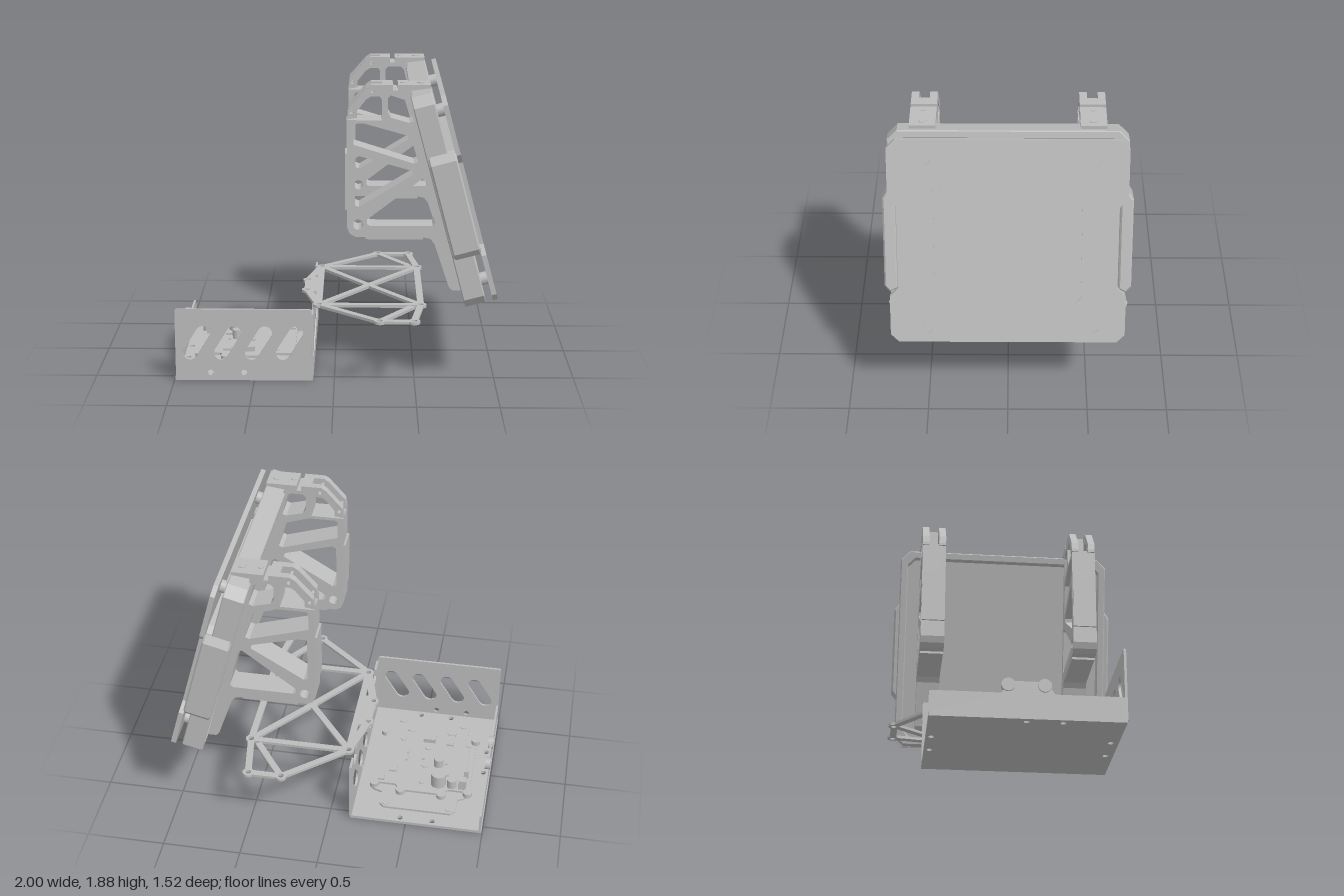
import * as THREE from 'three';

const gray = new THREE.MeshStandardMaterial({ color: 0xbcbcbc });
gray.name = 'machined gray';

// Polygon, always counter-clockwise so that holes face the right way
function poly(pts) {
  const v = pts.map(p => new THREE.Vector2(p[0], p[1]));
  return new THREE.Shape(THREE.ShapeUtils.isClockWise(v) ? v.reverse() : v);
}
const circle = (x, y, r) => new THREE.Path().absarc(x, y, r, 0, Math.PI * 2, true);
const disc = (x, y, r) => new THREE.Shape().absarc(x, y, r, 0, Math.PI * 2, false);

// Slanted slot: two half circles about (x, y), its ends offset by (dx, dy)
function slot(x, y, dx, dy, r) {
  const a = Math.atan2(dy, dx), p = new THREE.Path();
  p.absarc(x + dx, y + dy, r, a - Math.PI / 2, a + Math.PI / 2, false);
  p.absarc(x - dx, y - dy, r, a + Math.PI / 2, a + Math.PI * 1.5, false);
  p.closePath();
  return p;
}

function roundRect(hw, hh, r) {
  const s = new THREE.Shape(), h = Math.PI / 2;
  s.absarc(hw - r, hh - r, r, 0, h, false);
  s.absarc(-hw + r, hh - r, r, h, 2 * h, false);
  s.absarc(-hw + r, -hh + r, r, 2 * h, 3 * h, false);
  s.absarc(hw - r, -hh + r, r, 3 * h, 4 * h, false);
  s.closePath();
  return s;
}

// Rectangle with cut corners
const octagon = (hw, v0, v1, c) => poly([
  [-hw + c, v0], [hw - c, v0], [hw, v0 + c], [hw, v1 - c],
  [hw - c, v1], [-hw + c, v1], [-hw, v1 - c], [-hw, v0 + c]]);

function add(parent, name, geo, x = 0, y = 0, z = 0) {
  const m = new THREE.Mesh(geo, gray);
  m.name = name;
  m.position.set(x, y, z);
  parent.add(m);
  return m;
}
const box = (g, name, w, h, d, x, y, z) => add(g, name, new THREE.BoxGeometry(w, h, d), x, y, z);
const post = (g, name, r, h, x, y, z) => add(g, name, new THREE.CylinderGeometry(r, r, h, 24), x, y, z);
const pin = (g, name, r, h, x, y, z) => { post(g, name, r, h, x, y, z).rotation.z = Math.PI / 2; };

function extrude(shape, depth, bevel = 0) {
  return new THREE.ExtrudeGeometry(shape, {
    depth: depth - 2 * bevel, curveSegments: 10, bevelEnabled: bevel > 0,
    bevelSize: bevel, bevelThickness: bevel, bevelOffset: -bevel, bevelSegments: 1
  }).translate(0, 0, bevel);
}
// Horizontal plate (x, z) below top; upright plate (z, y) behind its +x face
const flat = (g, name, s, top, t) => add(g, name, extrude(s, t).rotateX(Math.PI / 2), 0, top, 0);
const upright = (g, name, s, x, t, bevel) => add(g, name, extrude(s, t, bevel).rotateY(-Math.PI / 2), x, 0, 0);

function buildTray(root) {
  const g = new THREE.Group();
  g.name = 'tray';
  root.add(g);
  const floor = poly([[-0.995, -0.56], [-0.135, -0.56], [-0.135, 0.57], [-0.995, 0.57]]);
  for (const [x, z] of [[-0.67, 0.525], [-0.46, 0.525], [-0.67, -0.525], [-0.46, -0.525], [-0.95, 0], [-0.95, 0.21]])
    floor.holes.push(circle(x, z, 0.018));
  flat(g, 'trayFloor', floor, 0.022, 0.02);
  // front wall
  const front = poly([[-0.99, 0.02], [-0.14, 0.02], [-0.14, 0.46], [-0.15, 0.47], [-0.98, 0.47], [-0.99, 0.46]]);
  for (let i = 0; i < 4; i++) front.holes.push(slot(-0.857 + i * 0.193, 0.25, 0.04, 0.065, 0.045));
  for (const x of [-0.772, -0.562]) front.holes.push(circle(x, 0.055, 0.018));
  add(g, 'frontWall', extrude(front, 0.015), 0, 0, 0.56);
  // right wall with two notches under the arm plate
  const side = poly([[-0.56, 0.02], [0.565, 0.02], [0.565, 0.435], [0.46, 0.435], [0.46, 0.38], [0.44, 0.36],
    [0.38, 0.36], [0.36, 0.38], [0.36, 0.435], [-0.36, 0.435], [-0.36, 0.38], [-0.38, 0.36],
    [-0.44, 0.36], [-0.46, 0.38], [-0.46, 0.435], [-0.56, 0.435]]);
  for (let i = -2; i <= 2; i++) side.holes.push(slot(i * 0.197 + 0.005, 0.198, -0.048, 0.053, 0.05));
  for (const [z, y] of [[0.21, 0.405], [0, 0.405], [0.105, 0.055], [-0.105, 0.055]]) side.holes.push(circle(z, y, 0.018));
  upright(g, 'rightWall', side, -0.13, 0.015);
  // low wall with a raised middle that carries two connectors
  upright(g, 'lowLeftWall', poly([[-0.56, 0.02], [0.565, 0.02], [0.565, 0.15], [0.555, 0.16], [0.16, 0.16], [0.11, 0.235],
    [-0.1, 0.235], [-0.15, 0.16], [-0.55, 0.16], [-0.56, 0.15]]), -0.977, 0.013);
  for (const z of [-0.11, 0.1]) pin(g, 'connector', 0.04, 0.035, -0.983, 0.21, z);
}

function buildElectronics(root) {
  const g = new THREE.Group();
  g.name = 'electronics';
  root.add(g);
  const half = [[-0.88, 0.26], [-0.85, 0.3], [-0.81, 0.32], [-0.81, 0.43], [-0.78, 0.46],
    [-0.34, 0.46], [-0.31, 0.43], [-0.31, 0.32], [-0.25, 0.3], [-0.22, 0.26]];
  flat(g, 'mountPlate', poly([...half, ...half.map(([x, z]) => [x, -z]).reverse()]), 0.045, 0.015);
  const board = [[-0.84, 0.26], [-0.74, 0.26], [-0.7, 0.31], [-0.42, 0.31], [-0.39, 0.26], [-0.26, 0.26]];
  flat(g, 'circuitBoard', poly([...board, ...board.map(([x, z]) => [x, -z]).reverse()]), 0.07, 0.015);
  for (const s of [-1, 1]) {
    for (const x of [-0.87, -0.25]) post(g, 'standoff', 0.03, 0.032, x, 0.058, s * 0.265);
    for (const x of [-0.7, -0.43]) post(g, 'boardScrew', 0.03, 0.032, x, 0.058, s * 0.31);
    for (const x of [-0.77, -0.35]) post(g, 'plateScrew', 0.025, 0.008, x, 0.046, s * 0.42);
  }
  post(g, 'largeCapacitor', 0.05, 0.09, -0.67, 0.115, -0.21);
  for (const [x, z, r, h] of [[-0.76, -0.22, 0.032, 0.06], [-0.65, -0.03, 0.032, 0.06], [-0.56, -0.05, 0.022, 0.006],
    [-0.56, 0.13, 0.022, 0.006], [-0.56, -0.21, 0.022, 0.006], [-0.38, 0.2, 0.022, 0.006], [-0.83, 0.2, 0.022, 0.006]])
    post(g, 'capacitor', r, h, x, 0.07 + h / 2, z);
  for (const [x, z, w, h, d] of [[-0.83, -0.22, 0.05, 0.07, 0.05], [-0.7, -0.11, 0.06, 0.012, 0.05], [-0.355, -0.115, 0.05, 0.012, 0.06],
    [-0.7, 0.195, 0.05, 0.012, 0.04], [-0.56, 0.21, 0.08, 0.03, 0.05], [-0.845, -0.12, 0.03, 0.06, 0.03], [-0.29, -0.22, 0.04, 0.012, 0.04],
    [-0.54, 0.02, 0.02, 0.01, 0.03], [-0.43, 0.0, 0.015, 0.01, 0.04], [-0.43, 0.07, 0.015, 0.01, 0.04], [-0.7, 0, 0.015, 0.01, 0.04]])
    box(g, 'component', w, h, d, x, 0.07 + h / 2, z);
}

function buildTruss(root) {
  const g = new THREE.Group();
  g.name = 'trussPlate';
  root.add(g);
  const bar = (a, b, w = 0.042) => {
    const dx = b[0] - a[0], dz = b[1] - a[1];
    box(g, 'trussBar', Math.hypot(dx, dz) - 0.05, 0.018, w, (a[0] + b[0]) / 2, 0.445, (a[1] + b[1]) / 2).rotation.y = -Math.atan2(dz, dx);
  };
  const node = p => {
    const s = disc(p[0], p[1], 0.036);
    s.holes.push(circle(p[0], p[1], 0.018));
    flat(g, 'trussNode', s, 0.454, 0.018);
  };
  for (const s of [-1, 1]) {
    const inner = [-0.1, s * 0.405], outer = [0.28, s * 0.725], tip = [0.49, s * 0.725], end = [0.54, s * 0.405];
    [inner, outer, tip, end, [-0.18, s * 0.105]].forEach(node);
    bar(inner, outer);
    bar(outer, tip);
    bar(tip, end);
    bar(inner, end);
    bar(outer, [0.5, s * 0.42]);
    bar(inner, [0.215, 0]);
    bar([0.215, 0], end);
    bar(inner, [-0.18, s * 0.105], 0.05);
  }
  post(g, 'trussCentre', 0.036, 0.018, 0.215, 0.445, 0);
  bar([0.54, -0.405], [0.54, 0.405]);
  bar([-0.1, -0.405], [-0.1, 0.405]);
  bar([-0.18, -0.12], [-0.18, 0.12]);
  box(g, 'trussFlange', 0.07, 0.018, 0.3, -0.13, 0.445, 0);
}

function buildBracket(root, z) {
  const g = new THREE.Group();
  g.name = 'bracket';
  root.add(g);
  const s = poly([[0.078, 1.665], [0.285, 1.665], [0.285, 1.88], [0.35, 1.88], [0.35, 1.845], [0.38, 1.845], [0.38, 1.88],
    [0.575, 1.88], [0.575, 1.86], [0.46, 1.845], [0.78, 0.6], [0.725, 0.6], [0.705, 0.62], [0.61, 0.9], [0.585, 0.93], [0.54, 0.94],
    [0.13, 0.94], [0.095, 0.96], [0.078, 1.0]]);
  for (const h of [
    [[0.32, 1.71], [0.32, 1.8], [0.34, 1.82], [0.42, 1.82], [0.44, 1.8], [0.475, 1.66], [0.45, 1.65], [0.34, 1.68]],
    [[0.115, 1.515], [0.115, 1.63], [0.13, 1.645], [0.3, 1.645], [0.45, 1.595], [0.505, 1.41], [0.48, 1.4]],
    [[0.125, 1.14], [0.125, 1.43], [0.15, 1.445], [0.47, 1.355], [0.475, 1.33], [0.15, 1.13]],
    [[0.2, 1.02], [0.2, 1.05], [0.53, 1.305], [0.555, 1.29], [0.615, 1.03], [0.6, 1.01], [0.22, 1.01]]
  ]) s.holes.push(poly(h));
  s.holes.push(circle(0.145, 1.018, 0.032));
  add(g, 'bracketFrame', extrude(s, 0.155), 0, 0, z - 0.0775);
  // fork at the upper rear
  const prong = poly([[0.078, 1.665], [0.285, 1.665], [0.285, 1.79], [0.27, 1.81], [0.22, 1.81], [0.19, 1.79], [0.135, 1.72],
    [0.135, 1.68], [0.078, 1.67], [0.078, 1.69], [0.085, 1.74], [0.19, 1.86], [0.22, 1.88], [0.285, 1.88]].slice(2).concat([[0.285, 1.79]]));
  prong.holes.push(circle(0.104, 1.715, 0.012), circle(0.228, 1.842, 0.012));
  for (const dz of [-0.0775, 0.0325]) add(g, 'forkProng', extrude(prong, 0.045), 0, 0, z + dz);
  // contact pads
  box(g, 'rearPad', 0.02, 0.35, 0.15, 0.075, 1.285, z);
  box(g, 'bottomPad', 0.35, 0.02, 0.15, 0.365, 0.935, z);
  post(g, 'topScrew', 0.026, 0.008, 0.52, 1.88, z);
  post(g, 'topPin', 0.015, 0.008, 0.41, 1.88, z);
}

function buildPanel(root) {
  const g = new THREE.Group();
  g.name = 'panel';
  g.position.set(0.828, 1.206, 0);
  g.rotation.z = THREE.MathUtils.degToRad(15.1);
  root.add(g);
  // cover plate with side notches, a shallow groove round its centre and sunk screws
  const edge = [[0.66, -0.655], [0.71, -0.605], [0.71, -0.35], [0.655, -0.29], [0.655, 0.23], [0.71, 0.29], [0.71, 0.6], [0.66, 0.652]];
  const outline = [...edge, ...edge.map(([z, u]) => [-z, u]).reverse()];
  upright(g, 'coverBack', poly(outline), -0.005, 0.025);
  const cover = poly(outline);
  cover.holes.push(roundRect(0.44, 0.39, 0.05));
  for (const z of [-0.5, 0.5]) for (const u of [0.54, -0.555]) {
    cover.holes.push(circle(z, u, 0.045));
    pin(g, 'coverStandoff', 0.04, 0.045, -0.052, u, z);
    pin(g, 'screwHead', 0.016, 0.006, -0.003, u, z);
  }
  upright(g, 'coverPlate', cover, 0, 0.005);
  upright(g, 'coverCentre', roundRect(0.408, 0.358, 0.035), 0, 0.005);
  // housing: deep rim with a recessed back, and a core behind the cover
  const rim = octagon(0.71, -0.656, 0.685, 0.06);
  rim.holes.push(octagon(0.66, -0.605, 0.635, 0.05));
  upright(g, 'housingRim', rim, -0.072, 0.132, 0.006);
  upright(g, 'housingBack', octagon(0.665, -0.61, 0.64, 0.05), -0.075, 0.065);
  upright(g, 'housingCore', octagon(0.64, -0.36, 0.3, 0.05), -0.03, 0.045);
  // side grips
  for (const s of [-1, 1]) {
    upright(g, 'sideGrip', poly([[s * 0.665, -0.31], [s * 0.71, -0.335], [s * 0.742, -0.295], [s * 0.742, 0.27],
      [s * 0.71, 0.32], [s * 0.665, 0.29]]), -0.026, 0.17, 0.01);
  }
}

export function createModel() {
  const root = new THREE.Group();
  root.name = 'equipmentMount';
  buildTray(root);
  buildElectronics(root);
  buildTruss(root);
  for (const z of [-0.5, 0.5]) buildBracket(root, z);
  buildPanel(root);
  return root;
}
